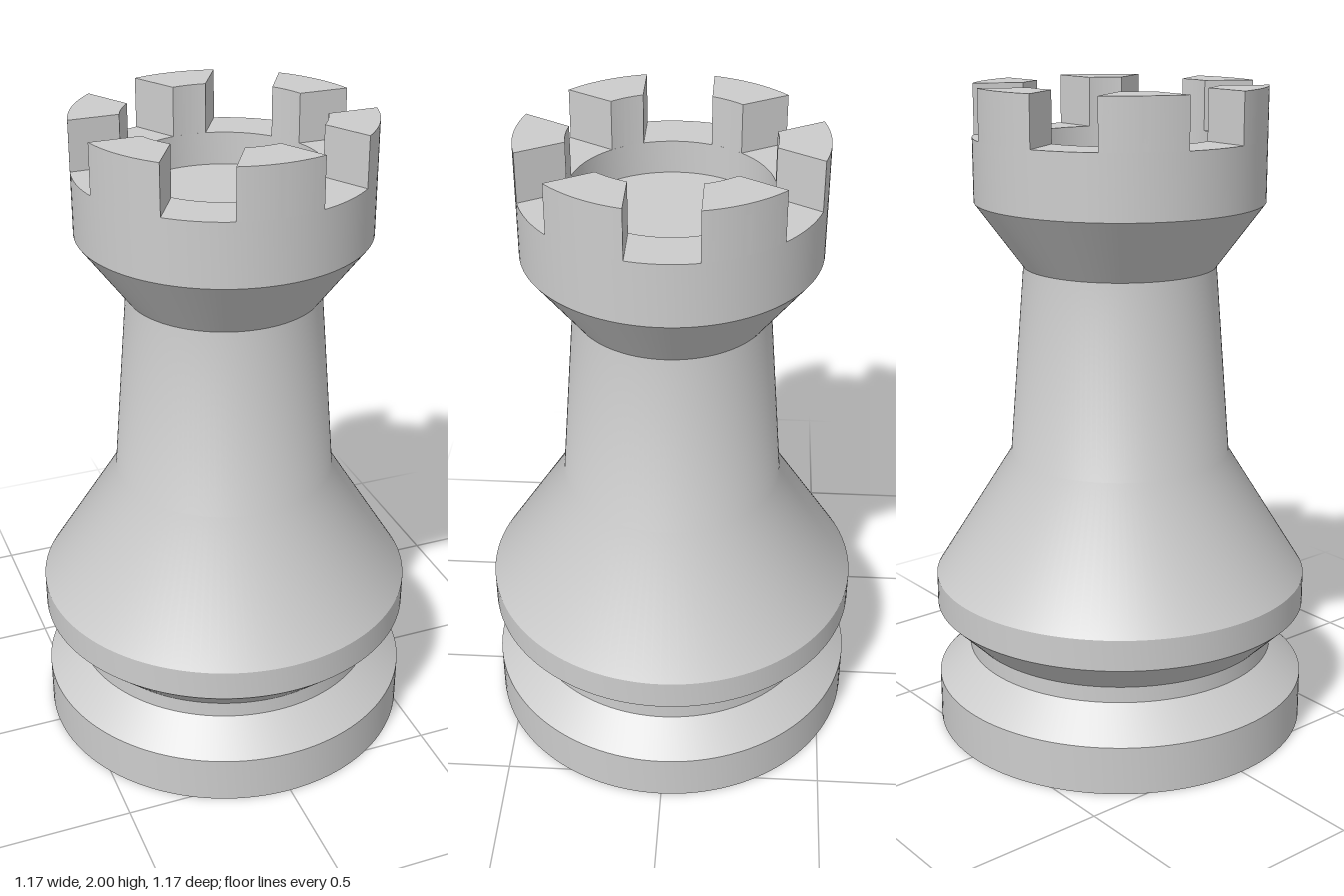
import * as THREE from 'three';
import { toCreasedNormals } from 'three/addons/utils/BufferGeometryUtils.js';

const OUTER = 0.437, INNER = 0.293;      // crown radii
const RIM = 1.85, TOP = 2, FLOOR = 1.75; // crown heights
const NOTCH = 0.1;                       // half width of the parallel-sided gaps
const CREASE = Math.PI / 6;

// One battlement, centred on +x, between two gaps
function merlonGeometry() {
  const outer = Math.PI / 6 - Math.asin(NOTCH / OUTER);
  const inner = Math.PI / 6 - Math.asin(NOTCH / INNER);
  const shape = new THREE.Shape();
  shape.absarc(0, 0, OUTER, -outer, outer, false);
  shape.absarc(0, 0, INNER, inner, -inner, true);
  shape.closePath();
  const geometry = new THREE.ExtrudeGeometry(shape, {
    depth: TOP - RIM, bevelEnabled: false, curveSegments: 14,
  });
  geometry.rotateX(-Math.PI / 2);
  return toCreasedNormals(geometry, CREASE);
}

export function createModel() {
  const model = new THREE.Group();
  model.name = 'chessRook';
  const grey = new THREE.MeshStandardMaterial({ color: 0xcccccc });
  grey.name = 'light grey';

  // Turned body: foot, groove, skirt, shaft, flared crown and sunken floor
  const profile = [
    [0, 0], [0.583, 0], [0.583, 0.15], [0.483, 0.245], [0.483, 0.295],
    [0.583, 0.395], [0.583, 0.49], [0.34, 0.88], [0.293, 1.465],
    [OUTER, 1.66], [OUTER, RIM], [INNER, RIM], [INNER, FLOOR], [0, FLOOR],
  ].map(([r, y]) => new THREE.Vector2(r, y));
  const body = new THREE.Mesh(
    toCreasedNormals(new THREE.LatheGeometry(profile, 128), CREASE), grey);
  body.name = 'body';
  model.add(body);

  // Ring of six battlements
  const battlements = new THREE.Group();
  battlements.name = 'battlements';
  const geometry = merlonGeometry();
  for (let i = 0; i < 6; i++) {
    const merlon = new THREE.Mesh(geometry, grey);
    merlon.name = `battlement${i + 1}`;
    merlon.position.y = RIM;
    merlon.rotation.y = Math.PI / 6 + i * Math.PI / 3;
    battlements.add(merlon);
  }
  model.add(battlements);
  return model;
}
